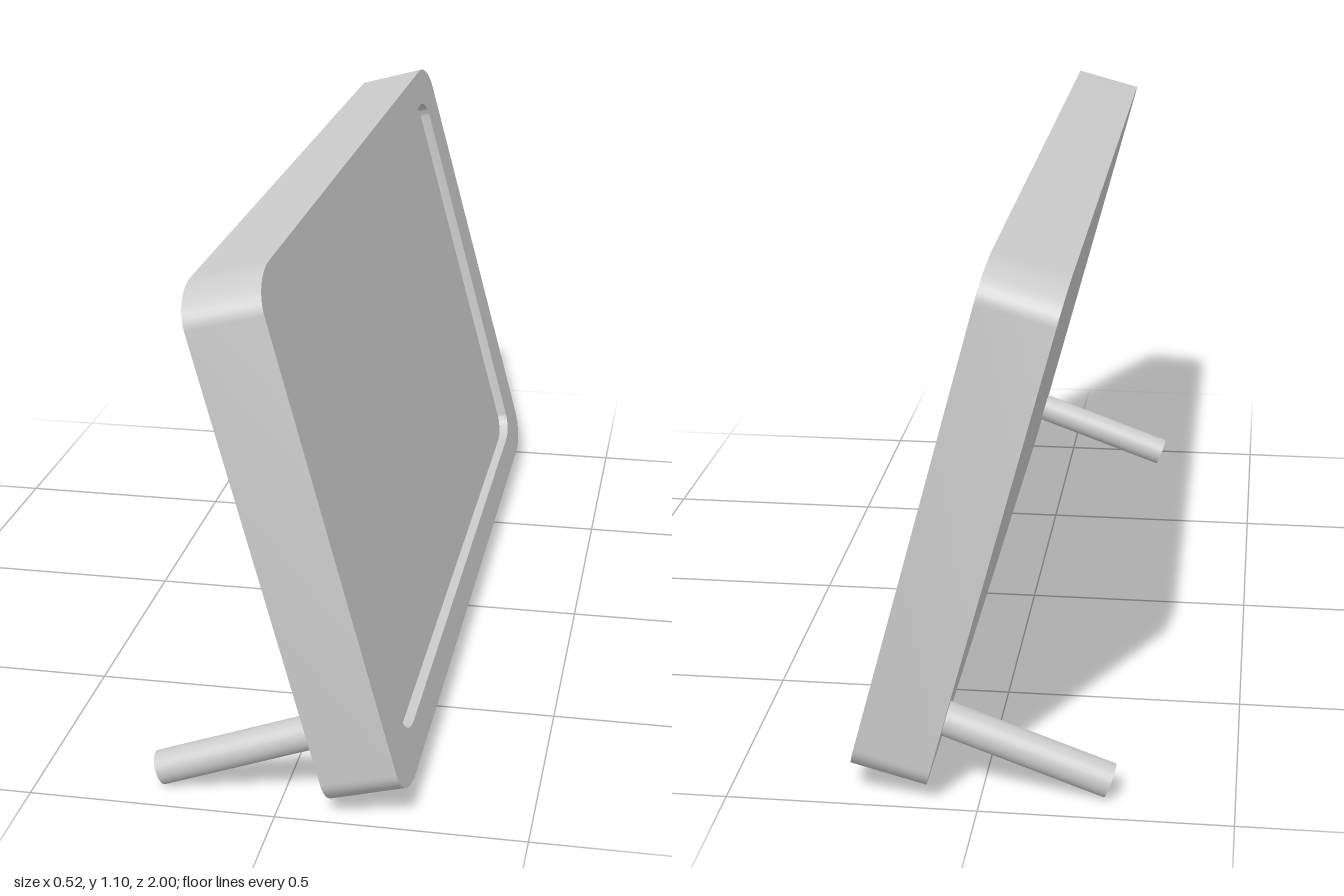
import * as THREE from 'three';
import { toCreasedNormals } from 'three/addons/utils/BufferGeometryUtils.js';

const material = new THREE.MeshStandardMaterial({ color: 0xcccccc });
const TILT = THREE.MathUtils.degToRad(15);
const CORNER_STEPS = 10;

// Counter-clockwise rounded rectangle at depth z, with elliptical corners
function roundedRing([halfW, halfH, rx, ry, z]) {
  const points = [];
  const signs = [[1, 1], [-1, 1], [-1, -1], [1, -1]];
  signs.forEach(([sx, sy], corner) => {
    for (let i = 0; i <= CORNER_STEPS; i++) {
      const a = (corner + i / CORNER_STEPS) * Math.PI / 2;
      points.push([
        sx * (halfW - rx) + rx * Math.cos(a),
        sy * (halfH - ry) + ry * Math.sin(a),
        z,
      ]);
    }
  });
  return points;
}

// Skin a series of rings; a ring of zero size closes an end
function loft(name, sections) {
  const rings = sections.map(roundedRing);
  const positions = [];
  for (let i = 0; i < rings.length - 1; i++) {
    const n = rings[i].length;
    for (let j = 0; j < n; j++) {
      const k = (j + 1) % n;
      const [a, b, c, d] = [rings[i][j], rings[i][k], rings[i + 1][k], rings[i + 1][j]];
      if (sections[i][0] > 0) positions.push(...a, ...b, ...(sections[i + 1][0] > 0 ? c : d));
      if (sections[i + 1][0] > 0) positions.push(...a, ...c, ...d);
    }
  }
  const geometry = new THREE.BufferGeometry();
  geometry.setAttribute('position', new THREE.Float32BufferAttribute(positions, 3));
  const mesh = new THREE.Mesh(toCreasedNormals(geometry, 0.6), material);
  mesh.name = name;
  return mesh;
}

export function createModel() {
  const model = new THREE.Group();
  model.name = 'tiltedDisplay';

  // Panel, leaning back and facing +x
  const lean = new THREE.Group();
  lean.name = 'panel';
  lean.position.set(0.045, 0.556, 0);
  lean.rotation.z = TILT;
  const panel = new THREE.Group();
  panel.rotation.y = Math.PI / 2;
  lean.add(panel);
  model.add(lean);

  const back = -0.0775, front = 0.0775, floor = front - 0.023;
  const outer = [1, 0.5425, 0.12, 0.07];
  const inner = [0.865, 0.471, 0.08, 0.045];

  // Housing: closed back, side wall, front bezel and recess wall
  panel.add(loft('housing', [
    [0, 0, 0, 0, back],
    [...outer, back],
    [...outer, front],
    [...inner, front],
    [...inner, floor],
  ]));

  // Recessed screen
  panel.add(loft('screen', [[...inner, floor], [0, 0, 0, 0, floor]]));

  // Pair of round rear legs, running from the ground into the panel's back
  const legAngle = THREE.MathUtils.degToRad(20);
  const legLength = 0.38;
  const legGeometry = new THREE.CylinderGeometry(0.035, 0.035, legLength, 24);
  legGeometry.translate(0, legLength / 2, 0);
  for (const side of [-1, 1]) {
    const leg = new THREE.Mesh(legGeometry, material);
    leg.name = side > 0 ? 'leftLeg' : 'rightLeg';
    leg.position.set(-0.2525, 0.033, side * 0.91);
    leg.rotation.z = legAngle - Math.PI / 2;
    model.add(leg);
  }
  return model;
}
